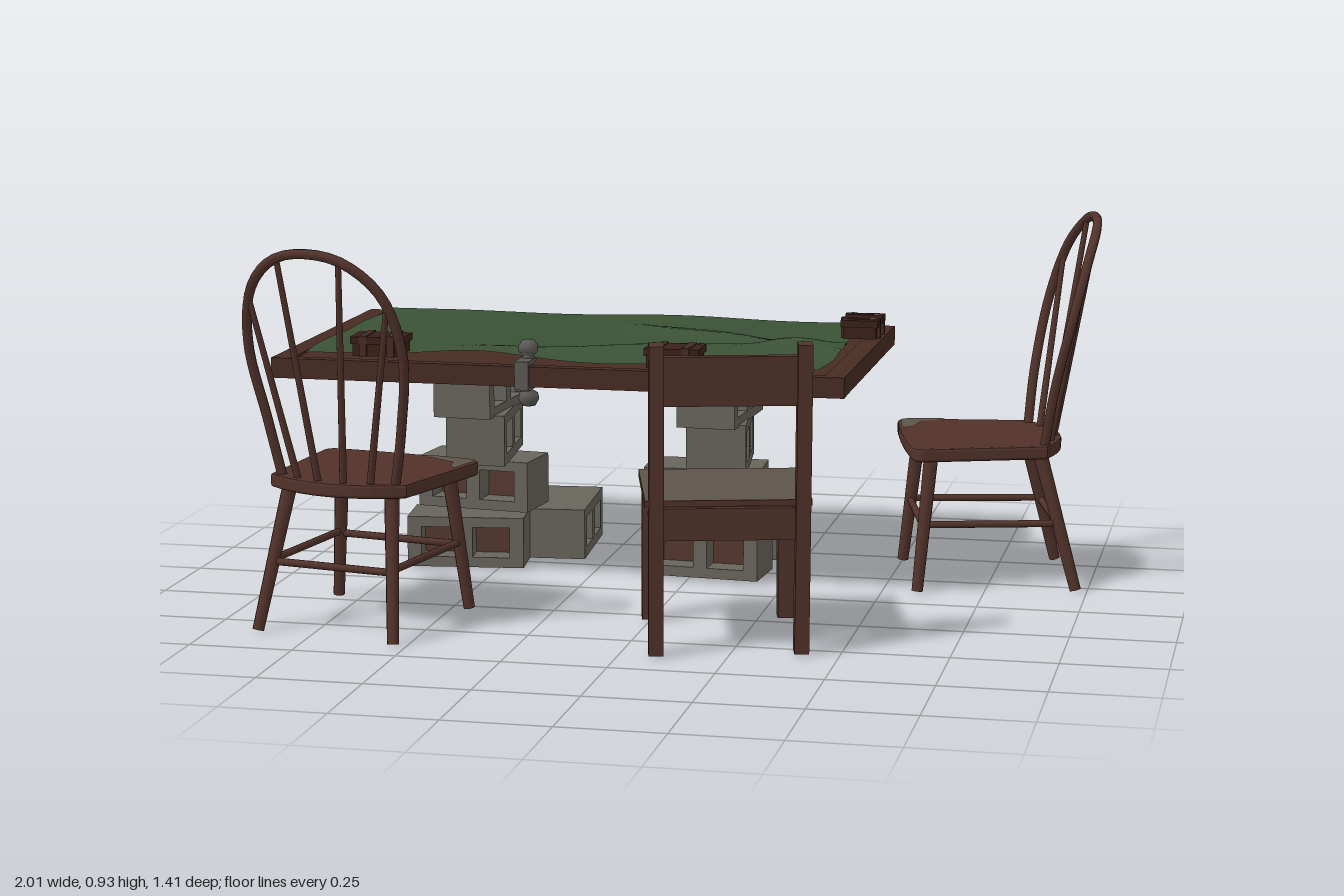
import * as THREE from 'three';

const mat = (name, color, opts = {}) => {
  const m = new THREE.MeshStandardMaterial({ color, ...opts });
  m.name = name;
  return m;
};

export function createModel() {
  const M = {
    wood: mat('brown wood', 0x51322a),
    table: mat('table wood', 0x482b23),
    felt: mat('green cloth', 0x3a5236, { side: THREE.DoubleSide }),
    block: mat('concrete', 0x68645c),
    rust: mat('reddish core', 0x55382f),
    worn: mat('worn grey', 0x5d554b, { side: THREE.DoubleSide }),
    leather: mat('dark leather', 0x3b2019),
    metal: mat('dull metal', 0x5a5955),
    buckle: mat('pale buckle', 0x8f8880),
  };
  const V = (x, y, z) => new THREE.Vector3(x, y, z);
  const group = (name, x = 0, y = 0, z = 0, ry = 0) => {
    const g = new THREE.Group();
    g.name = name;
    g.position.set(x, y, z);
    g.rotation.y = ry;
    return g;
  };
  const add = (parent, name, geo, material) => {
    const m = new THREE.Mesh(geo, material);
    m.name = name;
    parent.add(m);
    return m;
  };
  const box = (parent, name, material, w, h, d, x, y, z) => {
    const m = add(parent, name, new THREE.BoxGeometry(w, h, d), material);
    m.position.set(x, y, z);
    return m;
  };
  // Round bar from a (radius ra) to b (radius rb)
  const rod = (parent, name, a, b, ra, rb = ra) => {
    const m = add(parent, name, new THREE.CylinderGeometry(rb, ra, a.distanceTo(b), 10), M.wood);
    m.position.copy(a).lerp(b, 0.5);
    m.quaternion.setFromUnitVectors(V(0, 1, 0), b.clone().sub(a).normalize());
    return m;
  };
  // Flat plate lying on a seat, outlined in x and z
  const plate = (parent, name, material, pts, y) => {
    const s = new THREE.Shape(pts.map(p => new THREE.Vector2(...p)));
    const m = add(parent, name, new THREE.ShapeGeometry(s).rotateX(Math.PI / 2), material);
    m.position.y = y;
    return m;
  };

  const root = group('cardTableSet');

  // Table board with a shallow raised rim
  const table = group('table');
  root.add(table);
  box(table, 'tableTop', M.table, 1.42, 0.042, 0.81, -0.28, 0.547, -0.284);
  for (const z of [0.117, -0.686]) box(table, 'longRim', M.table, 1.44, 0.05, 0.032, -0.28, 0.549, z);
  for (const x of [-0.975, 0.415]) box(table, 'endRim', M.table, 0.05, 0.049, 0.83, x, 0.55, -0.284);

  // Rumpled cloth: a grid lifted by diagonal folds, with wavy edges
  const cloth = new THREE.PlaneGeometry(1.33, 0.775, 56, 36).rotateX(-Math.PI / 2);
  const p = cloth.attributes.position;
  const ridge = (d, w) => Math.exp(-(d * d) / (w * w));
  for (let i = 0; i < p.count; i++) {
    let x = p.getX(i) - 0.275, z = p.getZ(i) - 0.298;
    const u = (x + 0.94) / 1.33, v = (z + 0.685) / 0.775;
    const y = 0.583 + 0.004 * Math.sin(9 * x + 5 * z) * Math.sin(7 * z - 2 * x)
      + 0.02 * ridge(z + 0.02 + 0.28 * (x + 0.35), 0.05) * THREE.MathUtils.smoothstep(x, -0.6, -0.1)
      + 0.018 * ridge(z + 0.42 - 0.6 * (x + 0.1), 0.06) * THREE.MathUtils.smoothstep(x, -0.4, 0.1)
      + 0.014 * ridge(x + 0.5, 0.15) * THREE.MathUtils.smoothstep(z, -0.25, 0.05);
    z -= v ** 8 * (0.016 + 0.014 * Math.sin(13 * x));
    x += (1 - u) ** 8 * 0.006 * Math.sin(17 * z) - u ** 8 * 0.012 * (1 + Math.sin(11 * z));
    p.setXYZ(i, x, Math.max(y, 0.578), z);
  }
  cloth.computeVertexNormals();
  add(table, 'cloth', cloth, M.felt);

  // Leather cases with straps and buckles
  for (const [x, z, ry] of [[-0.73, 0.08, 0.05], [0.02, 0.105, 0], [0.393, -0.458, Math.PI / 2]]) {
    const c = group('leatherCase', x, 0.585, z, ry);
    root.add(c);
    box(c, 'caseBody', M.leather, 0.125, 0.03, 0.085, 0, 0.015, 0);
    box(c, 'caseLid', M.leather, 0.135, 0.018, 0.095, 0, 0.039, 0);
    for (const s of [-1, 1]) {
      box(c, 'strap', M.table, 0.018, 0.052, 0.101, s * 0.035, 0.025, 0);
      box(c, 'buckle', M.buckle, 0.01, 0.006, 0.014, s * 0.035, 0.05, 0.03);
      box(c, 'cornerStud', M.buckle, 0.008, 0.006, 0.008, s * 0.06, 0.047, -0.036);
    }
  }

  // Clamp on the front edge: ball above, turned screw knob below
  const clamp = group('edgeClamp', -0.355, 0, 0.075);
  root.add(clamp);
  const profile = [[0, 0.465], [0.017, 0.469], [0.026, 0.485], [0.023, 0.5], [0.01, 0.508], [0.01, 0.53],
    [0.01, 0.575], [0.022, 0.583], [0.012, 0.593], [0.024, 0.603], [0.025, 0.618], [0.015, 0.631], [0, 0.634]];
  add(clamp, 'clampKnobs', new THREE.LatheGeometry(profile.map(q => new THREE.Vector2(...q)), 16), M.metal);
  box(clamp, 'clampJaw', M.metal, 0.035, 0.012, 0.07, 0, 0.582, 0.03);
  box(clamp, 'clampBack', M.metal, 0.035, 0.07, 0.01, 0, 0.553, 0.066);
  box(clamp, 'clampFoot', M.metal, 0.035, 0.01, 0.07, 0, 0.519, 0.03);

  // Hollow concrete blocks, two openings each
  const blockGeo = (L, H, D) => {
    const rect = (P, x, y, w, h) => {
      const r = new P();
      r.moveTo(x - w / 2, y - h / 2);
      r.lineTo(x + w / 2, y - h / 2);
      r.lineTo(x + w / 2, y + h / 2);
      r.lineTo(x - w / 2, y + h / 2);
      r.closePath();
      return r;
    };
    const s = rect(THREE.Shape, 0, 0, L, H);
    for (const k of [-1, 1]) s.holes.push(rect(THREE.Path, k * L * 0.22, 0, L * 0.32, H * 0.6));
    return new THREE.ExtrudeGeometry(s, { depth: D, bevelEnabled: false }).translate(0, 0, -D / 2);
  };
  const geo = blockGeo(0.3, 0.13, 0.15);
  const pile = (name, list) => {
    const g = group(name);
    root.add(g);
    for (const [x, y, z, ry, rx = 0] of list) {
      const b = group('block', x, y, z, ry);
      b.rotation.x = rx;
      add(b, 'blockShell', geo, M.block);
      box(b, 'blockCore', M.rust, 0.26, 0.1, 0.02, 0, 0, 0);
      g.add(b);
    }
  };
  const Q = Math.PI / 2;
  pile('leftPile', [
    [-0.59, 0.066, -0.21, 0.12], [-0.39, 0.066, -0.43, Q + 0.08], [-0.6, 0.075, -0.45, Q - 0.15],
    [-0.57, 0.204, -0.28, -0.12], [-0.56, 0.337, -0.26, Q + 0.1], [-0.565, 0.462, -0.24, Q - 0.06],
  ]);
  pile('rightPile', [
    [0.04, 0.07, -0.2, -0.08], [0.04, 0.07, -0.41, 0.2], [0.02, 0.204, -0.28, 0.05],
    [0.06, 0.337, -0.26, Q + 0.12], [0.065, 0.462, -0.23, Q - 0.05],
  ]);

  // Bow-back chair, facing local +z
  const bowChair = (name, x, z, ry) => {
    const c = group(name, x, 0, z, ry);
    root.add(c);
    const s = new THREE.Shape();
    s.moveTo(-0.175, -0.15);
    s.quadraticCurveTo(0, -0.26, 0.175, -0.15);
    s.lineTo(0.205, 0.15);
    s.quadraticCurveTo(0.205, 0.175, 0.18, 0.177);
    s.quadraticCurveTo(0, 0.19, -0.18, 0.177);
    s.quadraticCurveTo(-0.205, 0.175, -0.205, 0.15);
    s.closePath();
    const seat = new THREE.ExtrudeGeometry(s, { depth: 0.02, bevelSize: 0.006, bevelThickness: 0.007, bevelSegments: 2, curveSegments: 10 });
    add(c, 'seat', seat.rotateX(Q), M.wood).position.y = 0.358;
    plate(c, 'wornCorner', M.worn, [[-0.204, 0.15], [-0.197, 0.06], [-0.175, 0.08], [-0.165, 0.12],
      [-0.12, 0.14], [-0.08, 0.155], [-0.07, 0.182], [-0.19, 0.175]], 0.367);
    // Legs and stretchers
    const at = (sx, front, y) => {
      const t = 1 - y / 0.345;
      return front ? V(sx * (0.145 + 0.035 * t), y, 0.13 + 0.035 * t) : V(sx * (0.135 + 0.045 * t), y, -0.14 - 0.09 * t);
    };
    for (const sx of [-1, 1]) {
      for (const f of [true, false]) rod(c, 'leg', at(sx, f, 0), at(sx, f, 0.345), 0.014, 0.018);
      rod(c, 'sideStretcher', at(sx, true, 0.165), at(sx, false, 0.165), 0.009);
    }
    for (const f of [true, false]) rod(c, 'crossStretcher', at(-1, f, 0.16), at(1, f, 0.16), 0.009);
    // Bent bow and spindles
    const half = [[0.15, 0.355, -0.15], [0.178, 0.5, -0.168], [0.203, 0.68, -0.205], [0.17, 0.82, -0.245], [0.09, 0.895, -0.278]];
    const pts = [...half.map(q => V(-q[0], q[1], q[2])), V(0, 0.913, -0.288), ...half.map(q => V(...q)).reverse()];
    const bow = new THREE.CatmullRomCurve3(pts);
    add(c, 'backBow', new THREE.TubeGeometry(bow, 48, 0.012, 8), M.wood);
    for (const [xb, t] of [[-0.095, 0.33], [-0.033, 0.44], [0.033, 0.56], [0.095, 0.67]])
      rod(c, 'spindle', V(xb, 0.355, -0.19 + xb * xb * 2), bow.getPointAt(t), 0.009, 0.007);
  };
  bowChair('leftBowChair', -0.664, 0.405, 2.95);
  bowChair('rightBowChair', 0.705, -0.334, -1.33);

  // Plain square chair with a grey seat
  const sq = group('squareChair', 0.193, 0, 0.375, -2.88);
  root.add(sq);
  box(sq, 'seat', M.wood, 0.385, 0.014, 0.365, 0, 0.35, -0.018);
  plate(sq, 'seatFace', M.worn, [[-0.192, -0.2], [0.192, -0.2], [0.192, 0.164], [-0.192, 0.164]], 0.3585);
  plate(sq, 'seatStreak', M.rust, [[0.035, 0.14], [0.02, 0.13], [0.015, 0.02], [0.005, -0.15], [0.018, -0.16],
    [0.035, -0.06], [0.05, 0], [0.035, 0.06]], 0.361);
  for (const sx of [-1, 1]) {
    box(sq, 'frontLeg', M.wood, 0.045, 0.345, 0.045, sx * 0.163, 0.1725, 0.138);
    box(sq, 'sideApron', M.wood, 0.02, 0.075, 0.33, sx * 0.165, 0.307, -0.03);
    const post = box(sq, 'backPost', M.wood, 0.034, 0.73, 0.042, sx * 0.168, 0.364, -0.232);
    post.rotation.x = -0.07;
  }
  box(sq, 'frontApron', M.wood, 0.33, 0.075, 0.02, 0, 0.307, 0.14);
  box(sq, 'rearApron', M.wood, 0.33, 0.075, 0.02, 0, 0.307, -0.22);
  box(sq, 'backPanel', M.wood, 0.325, 0.115, 0.018, 0, 0.643, -0.25).rotation.x = -0.07;

  return root;
}
